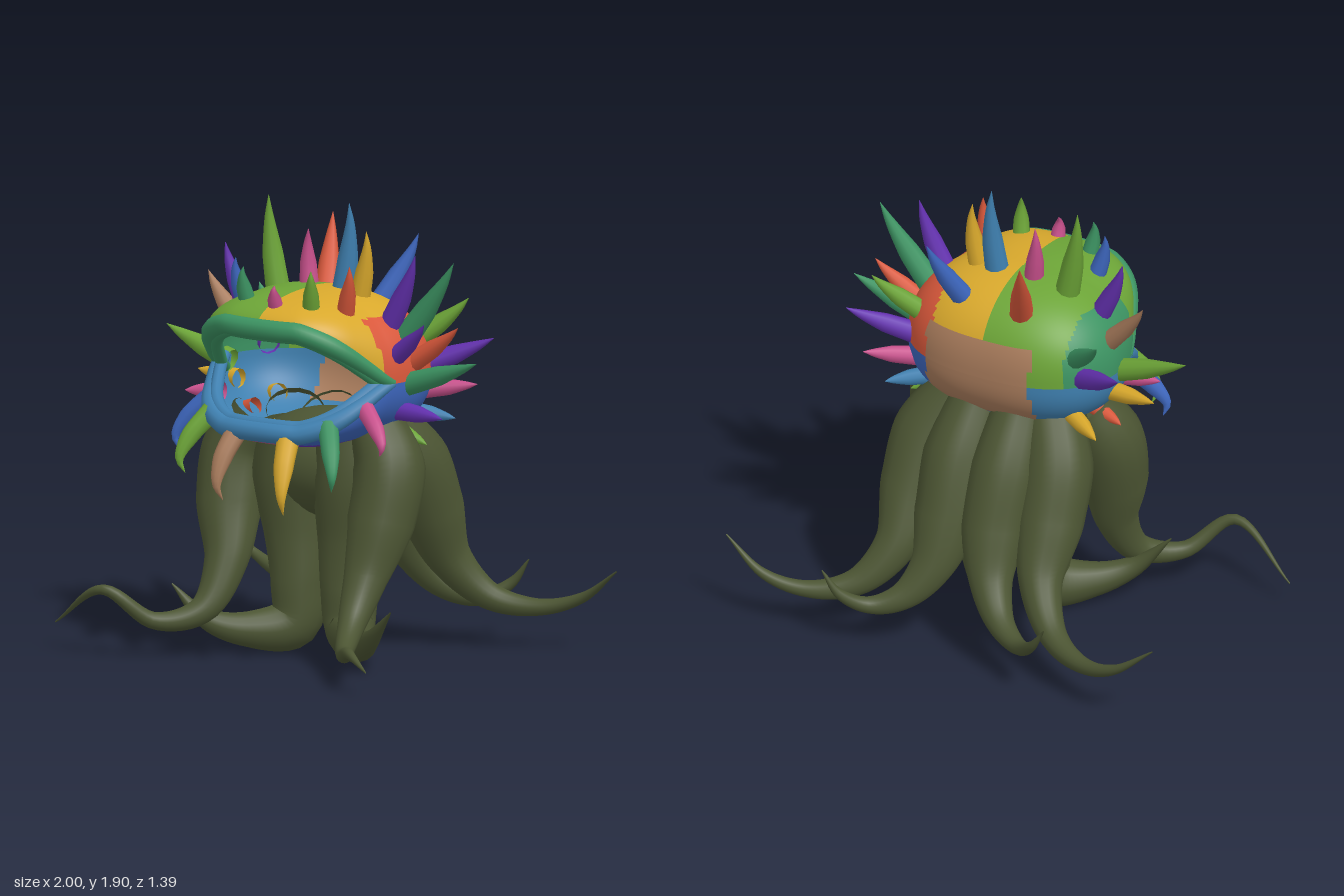
import * as THREE from 'three';

const COLORS = {
  olive: 0x4c5533, green: 0x6ca437, yellow: 0xd8a82c, red: 0xd9583b, blue: 0x3d66bd,
  teal: 0x3c9362, steel: 0x3f80b0, brown: 0xa97c5c, purple: 0x6431b0, pink: 0xc8508c,
};

// Tube whose radius follows a list of values along its path, optionally narrowed in x
function taper(points, radii, segments, sides, narrow = 1) {
  const curve = new THREE.CatmullRomCurve3(points);
  const geo = new THREE.TubeGeometry(curve, segments, 1, sides, false);
  const pos = geo.attributes.position;
  const v = new THREE.Vector3();
  for (let i = 0; i <= segments; i++) {
    const c = curve.getPointAt(i / segments);
    const t = curve.getUtoTmapping(i / segments) * (radii.length - 1);
    const k = Math.min(Math.floor(t), radii.length - 2);
    const r = THREE.MathUtils.lerp(radii[k], radii[k + 1], t - k);
    for (let j = 0; j <= sides; j++) {
      const n = i * (sides + 1) + j;
      v.fromBufferAttribute(pos, n).sub(c).multiplyScalar(r);
      v.x *= narrow;
      v.add(c);
      pos.setXYZ(n, v.x, v.y, v.z);
    }
  }
  return geo;
}

// Head outline seen from above, narrower at the mouth, and the height of the mouth rim along it
const pw = (v, e) => Math.sign(v) * Math.abs(v) ** e;
function outline(a) {
  const c = Math.cos(a);
  const width = 0.48 * (1 - 0.12 * THREE.MathUtils.smoothstep(c, -0.2, 0.5));
  return [width * pw(Math.sin(a), 0.8), 0.4 * pw(c, 0.8)];
}
const gape = (z) => THREE.MathUtils.clamp((z - 0.18) / 0.3, 0, 1);
const rimY = (z, upper) => 1.19 + gape(z) * (upper ? 0.23 : -0.2);

// Point of the head at azimuth a, with p running from the rim (0) to the pole (PI / 2)
function headPoint(a, p, upper) {
  const c = Math.max(Math.cos(p), 0) ** 0.86, s = Math.sin(p) ** 0.86;
  const [x, z] = outline(a);
  const y0 = rimY(z + 0.1, upper);
  return new THREE.Vector3(x * c, y0 + ((upper ? 1.54 : 0.9) - y0) * s, z * c + 0.1);
}

// Patchwork colour at a point of the head
function panel({ x, y, z }, upper) {
  if (z < -0.15 && x < 0.28 && x > -0.22 && y < 1.35 && y > 1.0) return 'brown';
  if (upper) {
    const side = y < 1.45 && z < 0.22;
    if (x > 0) return side && x > 0.26 ? 'red' : 'yellow';
    return side && x < -0.34 ? 'teal' : 'green';
  }
  if (y < 0.94) return z > 0.15 ? (x < 0.1 ? 'pink' : 'purple') : (x < 0 ? 'yellow' : 'purple');
  if (z > 0.22 && x < 0.05) return 'pink';
  return x > 0 ? 'blue' : 'steel';
}

// Half of the head shell, from the mouth rim to the top or bottom
function shell(upper, mats) {
  const N = 120, M = 30, points = [], buckets = {};
  for (let j = 0; j <= M; j++) {
    for (let i = 0; i < N; i++) points.push(headPoint((i / N) * Math.PI * 2, (j / M) * Math.PI / 2, upper));
  }
  for (let j = 0; j < M; j++) {
    for (let i = 0; i < N; i++) {
      const k = (i + 1) % N;
      const a = j * N + i, b = j * N + k, c = (j + 1) * N + k, d = (j + 1) * N + i;
      const list = (buckets[panel(points[a].clone().lerp(points[c], 0.5), upper)] ??= []);
      list.push(...(upper ? [a, b, c, a, c, d] : [a, c, b, a, d, c]));
    }
  }
  const geo = new THREE.BufferGeometry().setFromPoints(points);
  const index = [], used = [];
  for (const [name, list] of Object.entries(buckets)) {
    geo.addGroup(index.length, list.length, used.length);
    used.push(mats[name]);
    for (const n of list) index.push(n);
  }
  geo.setIndex(index);
  geo.computeVertexNormals();
  return new THREE.Mesh(geo, used);
}

// Spikes: colour, azimuth, rise from the rim (negative on the jaw), both in degrees, and length
const SPIKES = [
  // crown
  ['green', -105, 64, 0.37], ['pink', -141, 80, 0.22], ['steel', 133, 78, 0.35], ['yellow', 105, 69, 0.26],
  ['red', -163, 50, 0.34], ['blue', 154, 50, 0.3], ['blue', -61, 52, 0.16], ['teal', -28, 50, 0.13],
  ['pink', 2, 45, 0.08], ['green', 29, 49, 0.15], ['red', 63, 50, 0.19],
  // model's left side
  ['purple', 93, 41, 0.3], ['teal', 97, 28, 0.38], ['purple', 88, 17, 0.19], ['red', 97, 11, 0.24],
  ['teal', 93, -1, 0.33], ['purple', 91, -23, 0.2], ['pink', 67, -8, 0.2], ['pink', 126, -12, 0.2],
  ['green', 126, 22, 0.24], ['purple', 124, 4, 0.28], ['steel', 126, -33, 0.17], ['green', 111, -50, 0.16],
  // model's right side
  ['purple', -93, 41, 0.25], ['brown', -98, 22, 0.24], ['green', -93, -1, 0.32], ['yellow', -98, -16, 0.2],
  ['blue', -68, -16, 0.25], ['red', -98, -43, 0.13], ['teal', -128, 18, 0.21], ['purple', -124, 4, 0.28],
  ['pink', -80, -20, 0.14], ['yellow', -126, -33, 0.18],
  // chin
  ['green', -41, -8, 0.25], ['brown', -13, -18, 0.27], ['yellow', 15, -18, 0.3], ['teal', 41, -8, 0.25],
];

// Spikes lean more upright the higher they sit; those at the front of the jaw hang as hooks
function spikeGeometry(azimuth, rise, length) {
  const rad = THREE.MathUtils.degToRad;
  const base = headPoint(rad(azimuth), rad(Math.abs(rise)), rise > 0);
  const hook = rise < 0 && Math.cos(rad(azimuth)) > 0.3;
  const lean = (-15 + (base.y - 1) * 190) * (base.z < -0.1 ? 0.8 : 1) - (hook ? 52 : 0);
  const out = new THREE.Vector3(base.x, 0, base.z - 0.08).normalize();
  const dir = out.clone().multiplyScalar(Math.cos(rad(lean)));
  dir.y = Math.sin(rad(lean));
  const at = (d, bend) => base.clone().addScaledVector(dir, d).addScaledVector(out, bend);
  const bend = hook ? 0.05 : 0.01;
  const r = 0.027 + length * 0.07;
  return taper([at(-0.03, 0), at(length * 0.35, bend), at(length * 0.75, bend), at(length, 0)],
    [r, r * 0.85, r * 0.38, 0.001], 14, 10);
}

// Tentacle paths on the +x side, and their radii
const SLIM = [0.12, 0.15, 0.14, 0.09, 0.058, 0.036, 0.022, 0.003];
const THICK = [0.17, 0.2, 0.17, 0.14, 0.12, 0.075, 0.045, 0.003];
const MIDDLE = [[0.13, 0.94, 0.03], [0.15, 0.75, 0.03], [0.135, 0.5, 0.01], [0.125, 0.28, 0.02],
  [0.14, 0.115, 0.04], [0.28, 0.085, 0.17], [0.41, 0.13, 0.28], [0.55, 0.27, 0.33]];
const BACK_OUTER = [[0.22, 0.97, -0.08], [0.3, 0.8, -0.18], [0.32, 0.58, -0.28], [0.34, 0.36, -0.39],
  [0.46, 0.2, -0.5], [0.64, 0.16, -0.59], [0.82, 0.21, -0.645], [1, 0.34, -0.635]];
const BACK_INNER = [[0.1, 0.97, -0.14], [0.11, 0.78, -0.27], [0.11, 0.54, -0.37], [0.14, 0.34, -0.45],
  [0.23, 0.21, -0.53], [0.35, 0.17, -0.6], [0.45, 0.23, -0.67], [0.52, 0.33, -0.69]];
const FRONT_TOP = [[0.3, 0.96, 0.06], [0.38, 0.82, 0.1], [0.38, 0.6, 0.16], [0.35, 0.37, 0.23]];
const FRONT_LEFT_END = [[0.36, 0.2, 0.34], [0.43, 0.11, 0.49], [0.54, 0.14, 0.61], [0.68, 0.09, 0.69]];
const FRONT_RIGHT_END = [[0.39, 0.18, 0.34], [0.53, 0.14, 0.48], [0.7, 0.27, 0.6], [1, 0.09, 0.52]];

export function createModel() {
  const model = new THREE.Group();
  const mats = {};
  for (const [name, color] of Object.entries(COLORS)) {
    mats[name] = new THREE.MeshStandardMaterial({ color, side: THREE.DoubleSide });
    mats[name].name = name;
  }
  const add = (geo, color, name) => {
    const mesh = new THREE.Mesh(geo, mats[color]);
    mesh.name = name;
    model.add(mesh);
    return mesh;
  };

  // Patchwork head with an open mouth, and doubled lips
  for (const upper of [true, false]) {
    const half = shell(upper, mats);
    half.name = upper ? 'upperHead' : 'lowerJaw';
    model.add(half);
    for (const [scale, dy, r] of [[1, 0, 0.042], [0.94, upper ? -0.025 : 0.025, 0.03]]) {
      const pts = [];
      for (let i = 0; i <= 24; i++) {
        const [x, z] = outline((i / 12 - 1) * 1.46);
        pts.push(new THREE.Vector3(x * 0.96 * scale, rimY(z + 0.1, upper) + dy, z * scale + 0.09));
      }
      add(taper(pts, [0.025, r, r, r, 0.025], 64, 10), upper ? 'teal' : 'steel', upper ? 'upperLip' : 'lowerLip');
    }
  }

  // Spikes all over the head
  for (const [color, ...place] of SPIKES) add(spikeGeometry(...place), color, 'spike');

  // Body joining the tentacles
  const body = add(new THREE.SphereGeometry(1, 32, 20), 'olive', 'body');
  body.scale.set(0.38, 0.23, 0.27);
  body.position.set(0, 0.78, -0.05);

  // Tentacles, mirrored except for the front tips
  for (const s of [1, -1]) {
    const tentacle = (name, path, radii, narrow) => {
      const points = path.map(([x, y, z]) => new THREE.Vector3(x * s, y, z));
      add(taper(points, radii, 56, 16, narrow), 'olive', name);
    };
    tentacle('middleTentacle', MIDDLE, THICK, 0.8);
    tentacle('backOuterTentacle', BACK_OUTER, SLIM);
    tentacle('backInnerTentacle', BACK_INNER, SLIM);
    tentacle('frontTentacle', [...FRONT_TOP, ...(s > 0 ? FRONT_LEFT_END : FRONT_RIGHT_END)], SLIM);
  }
  return model;
}
